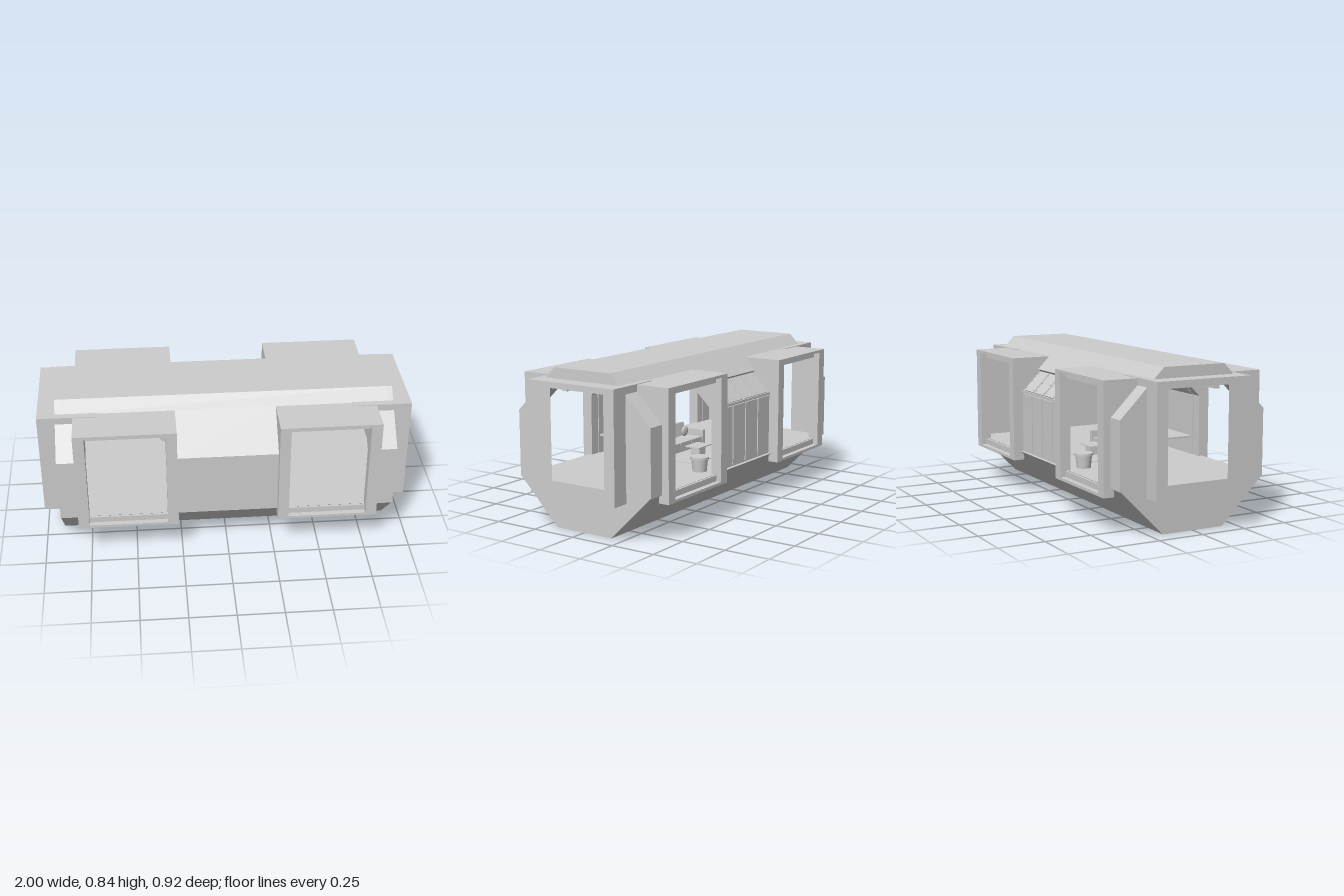
import * as THREE from 'three';

export function createModel() {
  const model = new THREE.Group();
  model.name = 'habitatModule';
  const grey = new THREE.MeshStandardMaterial({ color: 0xcccccc });
  grey.name = 'lightGrey';

  const add = (name, geometry, parent = model) => {
    const mesh = new THREE.Mesh(geometry, grey);
    mesh.name = name;
    parent.add(mesh);
    return mesh;
  };
  // box given by its minimum and maximum on each axis
  const box = (name, x0, x1, y0, y1, z0, z1, parent) => {
    const g = new THREE.BoxGeometry(x1 - x0, y1 - y0, z1 - z0);
    g.translate((x0 + x1) / 2, (y0 + y1) / 2, (z0 + z1) / 2);
    return add(name, g, parent);
  };
  // profile of [z, y] points swept along x, with an optional hole
  const sweep = (name, pts, x0, x1, hole, parent) => {
    const v = (list) => list.map(([z, y]) => new THREE.Vector2(-z, y));
    const shape = new THREE.Shape(v(pts));
    if (hole) shape.holes.push(new THREE.Path(v(hole)));
    const g = new THREE.ExtrudeGeometry(shape, { depth: x1 - x0, bevelEnabled: false });
    g.rotateY(Math.PI / 2);
    g.translate(x0, 0, 0);
    return add(name, g, parent);
  };
  const flip = (pts, s) => pts.map(([z, y]) => [z * s, y]);
  const rect = (z0, z1, y0, y1) => [[z0, y0], [z1, y0], [z1, y1], [z0, y1]];

  // Hull: solid lower half with the floor on top, and the roof
  sweep('lowerHull', [[-0.175, 0], [0.175, 0], [0.42, 0.245], [-0.42, 0.245]], -0.905, 0.905);
  sweep('roof', [[0.175, 0.84], [0.235, 0.78], [0.235, 0.73], [-0.235, 0.73], [-0.235, 0.78], [-0.175, 0.84]], -0.905, 0.905);

  // Side walls: front centre and the four corners
  const wall = [[0.42, 0.24], [0.42, 0.595], [0.235, 0.78], [0.21, 0.77], [0.395, 0.585], [0.395, 0.24]];
  sweep('frontWall', wall, -0.27, 0.27);
  for (const s of [1, -1]) {
    sweep('cornerWall', flip(wall, s), 0.81, 0.905);
    sweep('cornerWall', flip(wall, s), -0.905, -0.81);
  }

  // Back wall, recessed, with four upright and four sloping panels
  const backWall = new THREE.Group();
  backWall.name = 'backWall';
  model.add(backWall);
  sweep('recessedWall', flip([[0.4, 0.24], [0.4, 0.587], [0.29, 0.697], [0.305, 0.71], [0.235, 0.78],
    [0.21, 0.77], [0.385, 0.58], [0.385, 0.24]], -1), -0.27, 0.27, null, backWall);
  box('eaveRail', -0.26, 0.26, 0.587, 0.597, -0.41, -0.4, backWall);
  const slope = Math.PI / 4;
  for (let i = 0; i < 4; i++) {
    const x = -0.195 + i * 0.13;
    box('uprightPanel', x - 0.06, x + 0.06, 0.255, 0.58, -0.409, -0.4, backWall);
    const panel = new THREE.Group();
    panel.name = 'slopingPanel';
    panel.position.set(x, 0.645, -0.346);
    panel.rotation.x = slope;
    backWall.add(panel);
    box('panelSheet', -0.06, 0.06, -0.07, 0.07, -0.006, 0.004, panel);
    for (const rx of [-0.048, 0.048]) for (const ry of [-0.055, 0, 0.055]) {
      box('rivet', rx - 0.003, rx + 0.003, ry - 0.003, ry + 0.003, -0.009, -0.005, panel);
    }
  }

  // Four projecting window bays
  const jamb = [[0.4, 0.195], [0.46, 0.195], [0.46, 0.78], [0.21, 0.78], [0.21, 0.77], [0.4, 0.585]];
  const zBox = (name, x0, x1, y0, y1, z0, z1, s, parent) =>
    box(name, x0, x1, y0, y1, Math.min(z0 * s, z1 * s), Math.max(z0 * s, z1 * s), parent);
  for (const sx of [1, -1]) for (const sz of [1, -1]) {
    const bay = new THREE.Group();
    bay.name = 'sideWindowBay';
    model.add(bay);
    for (const [a, b] of [[0.27, 0.328], [0.75, 0.81]]) {
      sweep('jamb', flip(jamb, sz), Math.min(a * sx, b * sx), Math.max(a * sx, b * sx), null, bay);
    }
    const x0 = sx > 0 ? 0.32 : -0.76, x1 = x0 + 0.44;
    zBox('topPlate', x0, x1, 0.765, 0.78, 0.21, 0.46, sz, bay);
    zBox('sill', x0, x1, 0.195, 0.21, 0.36, 0.46, sz, bay);
    zBox('innerSill', x0, x1, 0.2, 0.242, 0.39, 0.43, sz, bay);
    zBox('outerHeader', x0, x1, 0.735, 0.77, 0.4, 0.425, sz, bay);
    zBox('innerHeader', x0, x1, 0.69, 0.77, 0.215, 0.245, sz, bay);
  }

  // End walls and projecting end frames
  const octagon = [[-0.175, 0], [0.175, 0], [0.42, 0.245], [0.42, 0.595], [0.175, 0.84], [-0.175, 0.84], [-0.42, 0.595], [-0.42, 0.245]];
  const opening = rect(-0.207, 0.207, 0.21, 0.765);
  for (const s of [1, -1]) {
    const span = (a, b) => (s > 0 ? [a, b] : [-b, -a]);
    const end = new THREE.Group();
    end.name = 'endFrame';
    model.add(end);
    sweep('endWall', octagon, ...span(0.88, 0.905), opening, end);
    sweep('outerFrame', rect(-0.27, 0.27, 0.194, 0.783), ...span(0.9, 1), opening, end);
    for (const z of [1, -1]) zBox('shoulder', ...span(0.68, 0.905), 0.74, 0.783, 0.21, 0.27, z, end);
  }

  // Sofa facing the back wall
  const sofa = new THREE.Group();
  sofa.name = 'sofa';
  model.add(sofa);
  box('seatBase', -0.24, 0.24, 0.245, 0.28, 0.02, 0.14, sofa);
  for (const s of [-1, 1]) box('arm', s * 0.235 - 0.012, s * 0.235 + 0.012, 0.245, 0.335, 0.015, 0.145, sofa);
  for (let i = 0; i < 4; i++) {
    const x = -0.165 + i * 0.11;
    box('seatCushion', x - 0.052, x + 0.052, 0.28, 0.297, 0.02, 0.13, sofa);
    const back = box('backCushion', -0.052, 0.052, -0.04, 0.04, -0.01, 0.01, sofa);
    back.position.set(x, 0.33, 0.148);
    back.rotation.x = 0.2;
  }
  for (const x of [-0.18, 0.18]) {
    const pillow = add('pillow', new THREE.SphereGeometry(0.03, 16, 10), sofa);
    pillow.scale.z = 0.35;
    pillow.position.set(x, 0.326, 0.112);
  }

  // Low table on a rug, and the shelf behind the sofa
  box('rug', -0.2, 0.2, 0.244, 0.248, -0.207, 0.01);
  box('tableTop', -0.065, 0.065, 0.297, 0.303, -0.148, -0.053);
  box('tablePedestal', -0.03, 0.03, 0.245, 0.298, -0.128, -0.073);
  box('wallShelf', -0.26, 0.26, 0.341, 0.351, 0.2, 0.4);

  // Tapered round stools beside the back wall
  for (const s of [1, -1]) {
    const stool = new THREE.Group();
    stool.name = 'stool';
    stool.position.set(s * 0.305, 0.245, -0.31);
    model.add(stool);
    add('stoolBody', new THREE.CylinderGeometry(0.045, 0.038, 0.07, 24).translate(0, 0.035, 0), stool);
    add('stoolTop', new THREE.CylinderGeometry(0.051, 0.051, 0.012, 24).translate(0, 0.074, 0), stool);
  }
  return model;
}
